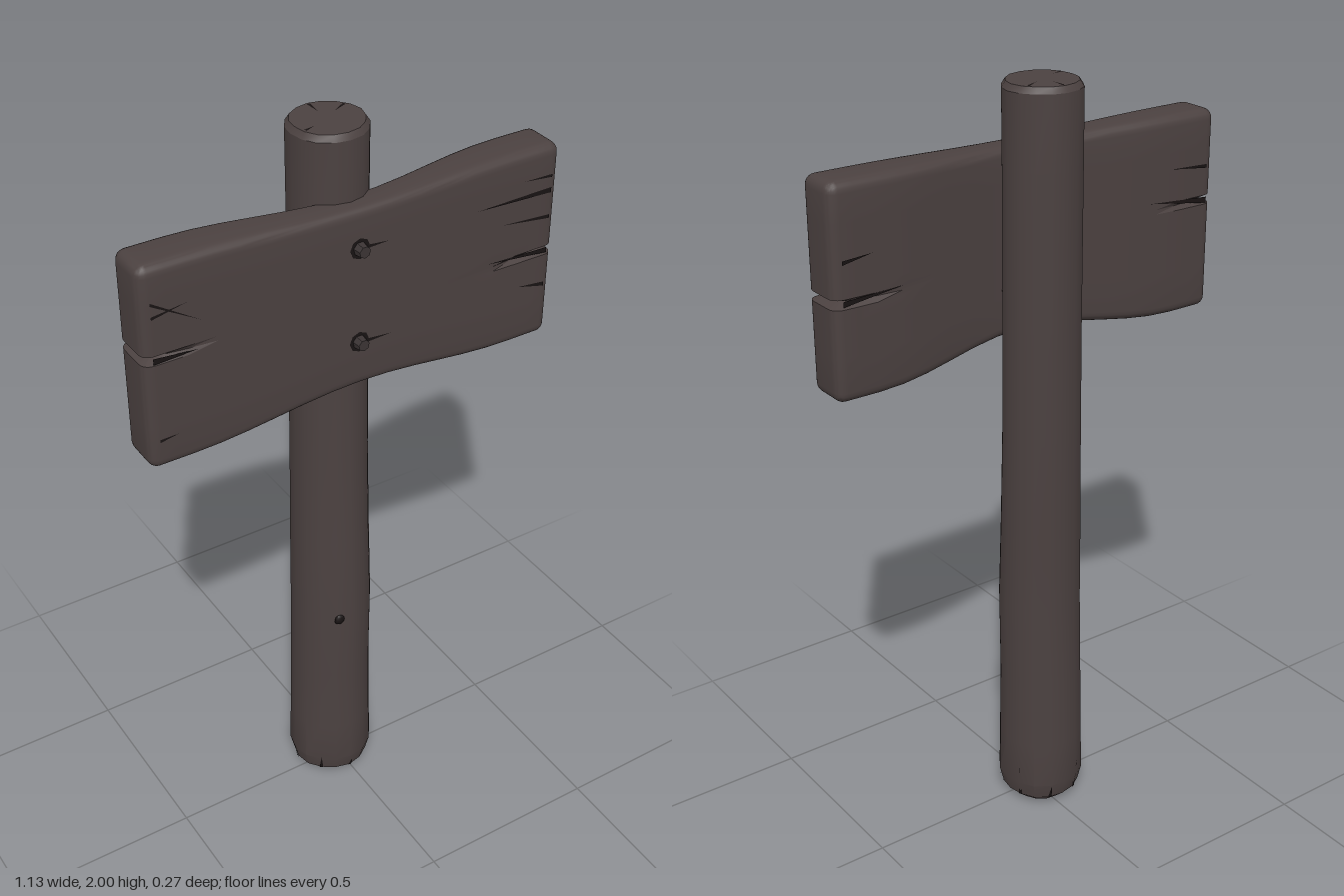
import * as THREE from 'three';
import { mergeVertices, toCreasedNormals } from 'three/addons/utils/BufferGeometryUtils.js';

const wood = new THREE.MeshStandardMaterial({ color: 0x4b4140 });
wood.name = 'dark wood';
const iron = new THREE.MeshStandardMaterial({ color: 0x3b3434 });
iron.name = 'old iron';
const crackDark = new THREE.MeshStandardMaterial({ color: 0x181313, side: THREE.DoubleSide });
crackDark.name = 'crack shadow';

const clamp = THREE.MathUtils.clamp;

function add(group, name, geometry, material) {
  const mesh = new THREE.Mesh(geometry, material);
  mesh.name = name;
  group.add(mesh);
  return mesh;
}

// Rebuild normals after moving vertices, keeping sharp edges
function finish(geo, crease) {
  geo.deleteAttribute('normal');
  geo.deleteAttribute('uv');
  return toCreasedNormals(mergeVertices(geo, 1e-5), crease);
}

// Post rings from top to bottom: y, centre x, centre z, radius
const RINGS = [
  [2, -0.008, -0.025, 0.088], [1.985, -0.008, -0.025, 0.098], [1.8, -0.008, -0.025, 0.098],
  [1.4, -0.009, -0.022, 0.099], [1.1, -0.01, -0.02, 0.101], [0.85, -0.012, -0.015, 0.105],
  [0.62, -0.014, -0.008, 0.109], [0.4, -0.014, -0.014, 0.11], [0.2, -0.015, -0.014, 0.113],
  [0.07, -0.015, -0.015, 0.116], [0.025, -0.015, -0.015, 0.105], [0, -0.015, -0.015, 0.078],
];
const SIDES = 16;

// Point on the slightly hewn post surface; angle 0 faces the front
function postPoint(angle, y, out = 0) {
  let i = 0;
  while (i < RINGS.length - 2 && y < RINGS[i + 1][0]) i++;
  const a = RINGS[i], b = RINGS[i + 1];
  const t = (a[0] - y) / (a[0] - b[0]);
  const [, cx, cz, r] = a.map((v, k) => v + (b[k] - v) * t);
  const lump = 1 + 0.012 * Math.sin(3 * angle + 1.5 * y) + 0.01 * Math.cos(5 * angle - y);
  const radius = r * lump + out;
  return new THREE.Vector3(cx + Math.sin(angle) * radius, y, cz + Math.cos(angle) * radius);
}

function postGeometry() {
  const n = RINGS.length - 1;
  const geo = new THREE.CylinderGeometry(1, 1, 1, SIDES, n);
  const pos = geo.attributes.position;
  for (let i = 0; i < pos.count; i++) {
    const x = pos.getX(i), z = pos.getZ(i);
    const ring = RINGS[Math.round((0.5 - pos.getY(i)) * n)];
    if (Math.hypot(x, z) < 0.5) {
      pos.setXYZ(i, ring[1], ring[0], ring[2]);
    } else {
      const p = postPoint(Math.atan2(x, z), ring[0]);
      pos.setXYZ(i, p.x, p.y, p.z);
    }
  }
  return finish(geo, 0.5);
}

// Board: thinner and narrower where it crosses the post
const waist = (x) => 0.5 + 0.5 * Math.cos(Math.PI * Math.min(Math.abs(x) / 0.45, 1));
const boardTop = (x) => 1.845 - 0.012 * waist(x);
const boardBottom = (x) => 1.315 + 0.045 * waist(x);
const boardFront = (x) => 0.108 + 0.007 * waist(x);
const boardBack = (x) => -0.013 + 0.046 * waist(x);

function boardGeometry() {
  const half = [0.565, 0.265, 0.06], r = 0.026;
  const mirror = (a) => [...a.map((v) => -v), 0, ...a.slice().reverse()];
  const cols = mirror([0.565, 0.556, 0.547, 0.538, 0.5, 0.45, 0.38, 0.31, 0.24, 0.16, 0.08]);
  const rows = [-0.265, -0.257, -0.248, -0.238, -0.15, -0.07, -0.032, -0.02, -0.008,
    0.018, 0.03, 0.042, 0.1, 0.17, 0.238, 0.248, 0.257, 0.265];
  const layers = mirror([0.06, 0.052, 0.043, 0.033]);
  const lists = [cols, rows, layers];
  const geo = new THREE.BoxGeometry(1, 1, 1, cols.length - 1, rows.length - 1, layers.length - 1);
  const pos = geo.attributes.position;
  const notches = [{ side: -1, y: 0.03, length: 0.16 }, { side: 1, y: -0.02, length: 0.2 }];
  for (let i = 0; i < pos.count; i++) {
    const raw = [pos.getX(i), pos.getY(i), pos.getZ(i)]
      .map((v, k) => lists[k][Math.round((v + 0.5) * (lists[k].length - 1))]);
    // round the edges
    const core = raw.map((v, k) => clamp(v, r - half[k], half[k] - r));
    const d = raw.map((v, k) => v - core[k]);
    const len = Math.hypot(...d) || 1;
    let [x, y, z] = core.map((v, k) => v + (d[k] / len) * r);
    // split the ends along the grain
    for (const s of notches) {
      if (Math.abs(raw[1] - s.y) > 0.001) continue;
      const depth = clamp(1 - (0.565 - x * s.side) / s.length, 0, 1);
      z *= 1 - 0.4 * depth;
      if (depth > 0.8) x -= s.side * 0.03 * depth;
    }
    const v = y / 0.53 + 0.5, w = z / 0.12 + 0.5;
    const lo = boardBottom(x), back = boardBack(x);
    pos.setXYZ(i, x, lo + v * (boardTop(x) - lo), back + w * (boardFront(x) - back));
  }
  return finish(geo, 0.5);
}

// Thin tapering triangle with its wide end at a and b and its point at c
function wedge(a, b, c) {
  const geo = new THREE.BufferGeometry().setFromPoints([a, b, c]);
  geo.computeVertexNormals();
  return geo;
}

export function createModel() {
  const model = new THREE.Group();
  model.name = 'woodenSignpost';
  add(model, 'post', postGeometry(), wood);
  add(model, 'board', boardGeometry(), wood);

  // Cracks on the board: wide end x, y, pointed end x, y, width, front or back
  const cracks = [
    [-0.542, 1.61, -0.43, 1.607, 0.016, 1], [-0.54, 1.755, -0.42, 1.68, 0.008, 1],
    [-0.54, 1.72, -0.45, 1.735, 0.008, 1], [-0.54, 1.395, -0.49, 1.4, 0.008, 1],
    [0.542, 1.727, 0.32, 1.73, 0.014, 1], [0.542, 1.765, 0.46, 1.77, 0.008, 1],
    [0.542, 1.655, 0.4, 1.67, 0.01, 1], [0.542, 1.562, 0.36, 1.575, 0.014, 1],
    [0.542, 1.465, 0.46, 1.48, 0.012, 1],
    [0.01, 1.735, 0.07, 1.733, 0.009, 1], [0.01, 1.482, 0.08, 1.48, 0.01, 1],
    [-0.542, 1.61, -0.36, 1.63, 0.016, -1], [-0.54, 1.7, -0.42, 1.71, 0.01, -1],
    [0.542, 1.562, 0.38, 1.575, 0.014, -1], [0.54, 1.66, 0.46, 1.67, 0.01, -1],
  ];
  for (const [x0, y0, x1, y1, w, face] of cracks) {
    const at = (x, y) =>
      new THREE.Vector3(x, y, face > 0 ? boardFront(x) + 0.002 : boardBack(x) - 0.003);
    add(model, 'boardCrack', wedge(at(x0, y0 - w / 2), at(x0, y0 + w / 2), at(x1, y1)), crackDark);
  }

  // Splits around the foot of the post
  const step = (Math.PI * 2) / SIDES;
  [[0, 0.055], [3, 0.06], [5, 0.13], [7, 0.07], [9, 0.12], [12, 0.06], [14, 0.08]].forEach(([k, top]) => {
    const a = k * step;
    add(model, 'footSplit', wedge(postPoint(a - 0.05, 0.026, 0.002),
      postPoint(a + 0.05, 0.026, 0.002), postPoint(a + 0.03, top, 0.003)), crackDark);
  });

  // Splits on the top of the post
  [[Math.PI, 0.05], [2.1, 0.05], [-1.2, 0.035]].forEach(([a, length]) => {
    const rim = (da, inset) => postPoint(a + da, 2, -inset).setY(2.0005);
    add(model, 'topSplit', wedge(rim(-0.05, 0.006), rim(0.05, 0.006), rim(0.05, length)), crackDark);
  });

  // Knot low on the front of the post
  const knot = add(model, 'knot', new THREE.SphereGeometry(0.016, 8, 6), crackDark);
  knot.position.copy(postPoint(-0.33, 0.605, -0.002));
  knot.scale.z = 0.5;

  // Nails holding the board
  for (const y of [1.735, 1.485]) {
    const nail = new THREE.Group();
    nail.name = 'nail';
    const shadow = add(nail, 'nailHole', new THREE.CircleGeometry(0.027, 8), crackDark);
    shadow.position.z = 0.002;
    const head = add(nail, 'nailHead', toCreasedNormals(new THREE.CylinderGeometry(0.015, 0.021, 0.04, 7), 0.4), iron);
    head.rotation.x = Math.PI / 2;
    head.position.z = 0.003;
    nail.position.set(-0.01, y, boardFront(0));
    model.add(nail);
  }
  return model;
}
